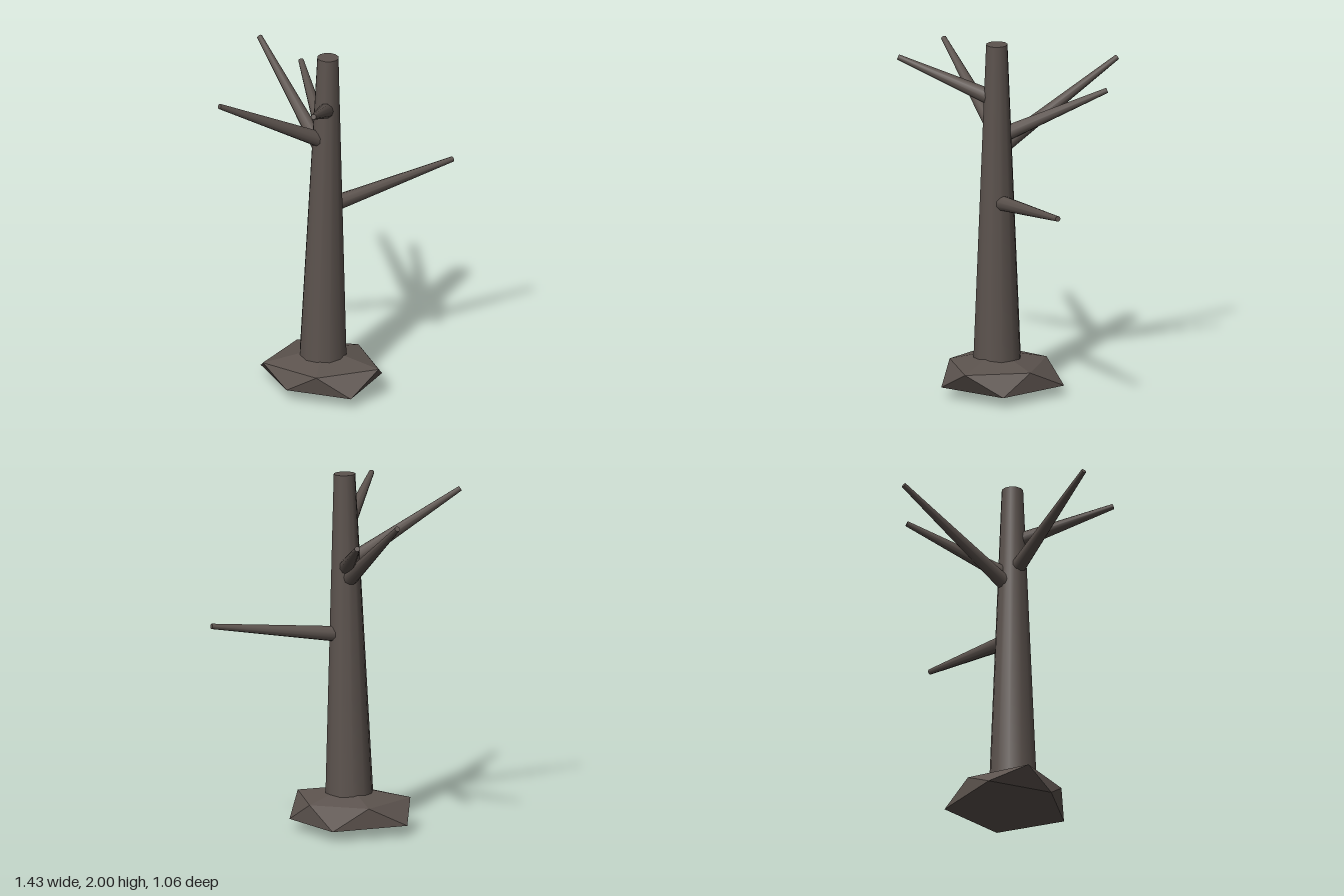
import * as THREE from 'three';

const bark = new THREE.MeshStandardMaterial({ color: 0x5c534e });
bark.name = 'bark';

// Tapered round limb running from point a to point b
function limb(name, a, b, ra, rb, sides) {
  const start = new THREE.Vector3(...a), end = new THREE.Vector3(...b);
  const dir = end.clone().sub(start);
  const mesh = new THREE.Mesh(new THREE.CylinderGeometry(rb, ra, dir.length(), sides), bark);
  mesh.name = name;
  mesh.position.copy(start).add(end).multiplyScalar(0.5);
  mesh.quaternion.setFromUnitVectors(new THREE.Vector3(0, 1, 0), dir.normalize());
  return mesh;
}

// Faceted root mound: two staggered rings of five between a top and a bottom point
function rootMound() {
  const upper = [[0.21, 0.17, 0.17], [0.035, 0.18, 0.495], [-0.285, 0.178, 0.327], [-0.34, 0.176, -0.03], [0.02, 0.172, -0.115]];
  const lower = [[0.2, 0.06, 0.36], [-0.175, 0.065, 0.485], [-0.348, 0.073, 0.16], [-0.19, 0.062, -0.192], [0.23, 0.06, -0.06]];
  const top = [-0.07, 0.245, 0.168], bottom = [-0.07, 0.003, 0.168];
  const pos = [];
  for (let i = 0; i < 5; i++) {
    const j = (i + 1) % 5;
    pos.push(...top, ...upper[j], ...upper[i]);
    pos.push(...upper[i], ...upper[j], ...lower[i]);
    pos.push(...lower[i], ...upper[j], ...lower[j]);
    pos.push(...bottom, ...lower[i], ...lower[j]);
  }
  const geo = new THREE.BufferGeometry();
  geo.setAttribute('position', new THREE.Float32BufferAttribute(pos, 3));
  geo.computeVertexNormals();
  const mesh = new THREE.Mesh(geo, bark);
  mesh.name = 'rootMound';
  return mesh;
}

export function createModel() {
  const tree = new THREE.Group();
  tree.name = 'bareTree';

  tree.add(rootMound());

  // Slightly leaning trunk
  tree.add(limb('trunk', [-0.07, 0.1, 0.168], [-0.05, 2, 0.188], 0.137, 0.06, 12));

  // Branches: height on the trunk, then tip
  const branches = [
    [1.095, [0.71, 1.205, 0.408]],
    [1.49, [-0.71, 1.86, -0.003]],
    [1.68, [-0.5, 1.893, 0.515]],
    [1.39, [0.143, 1.835, -0.525]],
    [1.465, [0.275, 1.708, -0.335]],
  ];
  branches.forEach(([y, tip], i) => {
    const t = (y - 0.1) / 1.9;
    const root = [-0.07 + 0.02 * t, y, 0.168 + 0.02 * t];
    tree.add(limb('branch' + (i + 1), root, tip, 0.046, 0.015, 10));
  });
  return tree;
}
